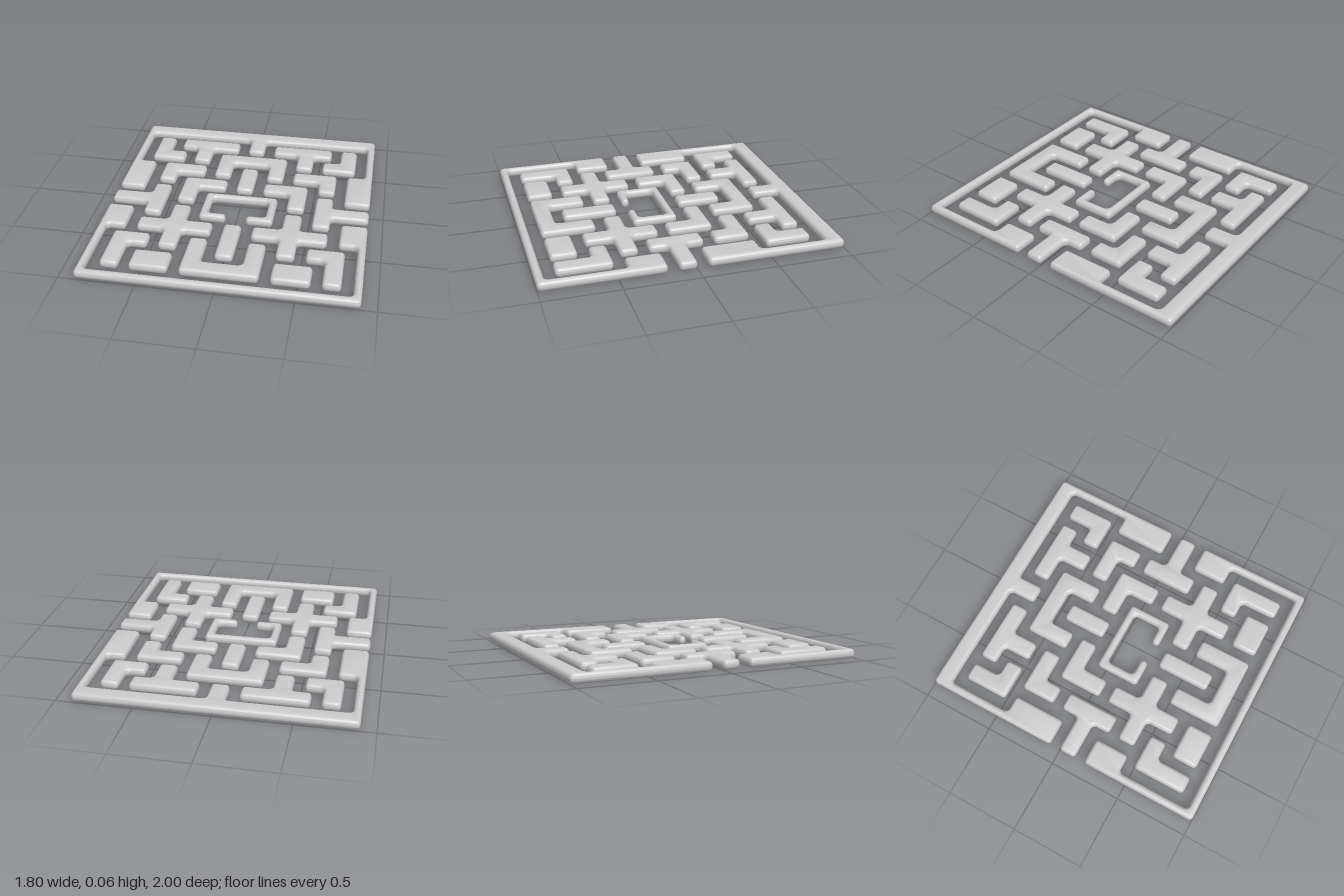
import * as THREE from 'three';
import { toCreasedNormals } from 'three/addons/utils/BufferGeometryUtils.js';

const HEIGHT = 0.064, BEVEL = 0.024, ROUND = 0.03; // bevel width and bevel height
const material = new THREE.MeshStandardMaterial({ color: 0xcccccc });

// Right-angled outline with every corner rounded; points are [x, z]
function roundedShape(points) {
  const v = points.map(([x, z]) => new THREE.Vector2(x, -z));
  const n = v.length;
  const turn = Math.sign(THREE.ShapeUtils.area(v));
  const out = [];
  v.forEach((p, i) => {
    const a = v[(i + n - 1) % n].clone().sub(p).normalize();
    const b = v[(i + 1) % n].clone().sub(p).normalize();
    const convex = b.cross(a) * turn > 0;
    const r = convex ? 0.0255 : 0.032;
    const c = p.clone().addScaledVector(a, r).addScaledVector(b, r);
    for (let k = 0; k <= 6; k++) {
      const t = (k / 6) * Math.PI / 2;
      out.push(c.clone().addScaledVector(b, -r * Math.cos(t)).addScaledVector(a, -r * Math.sin(t)));
    }
  });
  return new THREE.Shape(out);
}

// Wall piece with a pillowed edge, lying on y = 0
function wall(name, points) {
  const geo = new THREE.ExtrudeGeometry(roundedShape(points), {
    depth: HEIGHT - 2 * ROUND, steps: 1,
    bevelEnabled: true, bevelThickness: ROUND, bevelSize: BEVEL, bevelOffset: -BEVEL, bevelSegments: 7,
  });
  geo.translate(0, 0, ROUND);
  geo.rotateX(-Math.PI / 2);
  const mesh = new THREE.Mesh(toCreasedNormals(geo, 0.75), material);
  mesh.name = name;
  return mesh;
}

const rect = (x0, z0, x1, z1) => [[x0, z0], [x1, z0], [x1, z1], [x0, z1]];
const mirrorX = (pts) => pts.map(([x, z]) => [-x, z]);
// Close a half outline (x < 0) into a symmetric one
const symmetric = (half) => [...half, ...mirrorX(half).reverse()];

export function createModel() {
  const group = new THREE.Group();
  group.name = 'maze';

  // Pieces on the centre line
  const centre = {
    backBorder: symmetric([[-0.06, -0.70], [-0.06, -0.887], [-0.847, -0.887], [-0.847, -0.44],
      [-0.72, -0.44], [-0.72, -0.074], [-0.9, -0.074], [-0.9, -1]]),
    frontBorder: symmetric([[-0.847, 0.945], [-0.847, 0.43], [-0.72, 0.43], [-0.72, 0.19],
      [-0.9, 0.19], [-0.9, 1]]),
    backArch: symmetric([[-0.135, -0.51], [-0.135, -0.325], [-0.255, -0.325], [-0.255, -0.627]]),
    backBar: rect(-0.06, -0.44, 0.06, -0.137),
    pen: symmetric([[-0.2, -0.012], [-0.2, 0.187], [-0.07, 0.187], [-0.07, 0.24],
      [-0.255, 0.24], [-0.255, 0.065 - 0.13]]),
    frontBar: rect(-0.06, 0.31, 0.06, 0.68),
    frontCup: symmetric([[-0.135, 0.75], [-0.135, 0.5], [-0.255, 0.5], [-0.255, 0.867]]),
  };
  for (const [name, pts] of Object.entries(centre)) group.add(wall(name, pts));

  // Pieces that appear on both sides
  const sides = {
    BackCornerWall: [[-0.77, -0.817], [-0.65, -0.817], [-0.65, -0.627], [-0.525, -0.627],
      [-0.525, -0.51], [-0.77, -0.51]],
    BackTee: [[-0.58, -0.817], [-0.137, -0.817], [-0.137, -0.70], [-0.328, -0.70],
      [-0.328, -0.51], [-0.45, -0.51], [-0.45, -0.70], [-0.58, -0.70]],
    OuterElbow: [[-0.643, -0.44], [-0.328, -0.44], [-0.328, -0.323], [-0.523, -0.323],
      [-0.523, -0.2], [-0.643, -0.2]],
    InnerElbow: [[-0.45, -0.252], [-0.135, -0.252], [-0.135, -0.137], [-0.328, -0.137],
      [-0.328, 0.053], [-0.45, 0.053]],
    SideTee: [[-0.9, 0], [-0.643, 0], [-0.643, -0.127], [-0.523, -0.127], [-0.523, 0.24],
      [-0.643, 0.24], [-0.643, 0.117], [-0.9, 0.117]],
    Cross: [[-0.45, 0.123], [-0.328, 0.123], [-0.328, 0.31], [-0.137, 0.31], [-0.137, 0.43],
      [-0.328, 0.43], [-0.328, 0.617], [-0.45, 0.617], [-0.45, 0.43], [-0.643, 0.43],
      [-0.643, 0.31], [-0.45, 0.31]],
    FrontCornerWall: [[-0.77, 0.5], [-0.523, 0.5], [-0.523, 0.617], [-0.65, 0.617],
      [-0.65, 0.867], [-0.77, 0.867]],
    FrontBlock: rect(-0.58, 0.69, -0.328, 0.867),
  };
  for (const [name, pts] of Object.entries(sides)) {
    group.add(wall('right' + name, pts), wall('left' + name, mirrorX(pts)));
  }
  return group;
}
